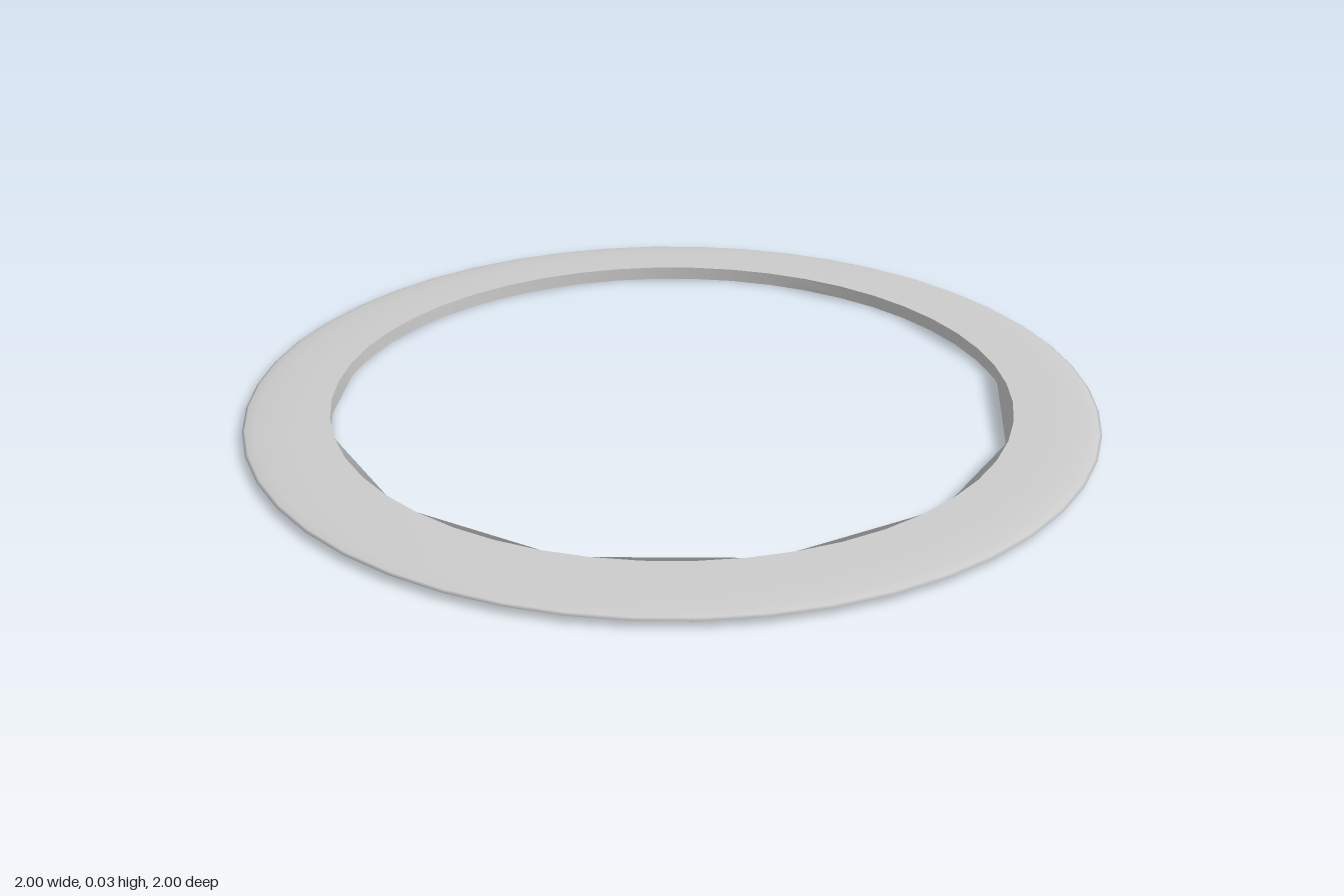
import * as THREE from 'three';

const SIDES = 48, INNER = 0.8, OUTER = 1, HALF = 0.0165;

// Rim: half-elliptical section, tapering to a thin outer edge
function rimGeometry() {
  const profile = [];
  const steps = 12;
  for (let i = 0; i <= steps; i++) {
    const a = -Math.PI / 2 + (Math.PI * i) / steps;
    profile.push(new THREE.Vector2(INNER + (OUTER - INNER) * Math.cos(a), HALF + HALF * Math.sin(a)));
  }
  return new THREE.LatheGeometry(profile, SIDES);
}

// Inner wall: round at the bottom, its top edge cut into chords with small flat ledges
function wallGeometry() {
  const position = [], normal = [], index = [];
  for (const y of [0, 2 * HALF]) {
    for (let i = 0; i < SIDES; i++) {
      const a = (i / SIDES) * Math.PI * 2;
      position.push(INNER * Math.sin(a), y, -INNER * Math.cos(a));
      normal.push(-Math.sin(a), 0, Math.cos(a));
    }
  }
  const bottom = (i) => i % SIDES;
  const top = (i) => SIDES + (i % SIDES);
  const panel = (start, span) => {
    const end = start + span;
    for (let i = start; i < end; i++) {
      index.push(bottom(i), bottom(i + 1), top(start));
      if (i > start) index.push(top(start), top(i + 1), top(i));
    }
    index.push(bottom(end), top(end), top(start));
  };
  for (let sector = 0; sector < 12; sector++) {
    const start = sector * 4;
    if (sector === 3) panel(start, 4);
    else {
      panel(start, 3);
      panel(start + 3, 1);
    }
  }
  const geometry = new THREE.BufferGeometry();
  geometry.setAttribute('position', new THREE.Float32BufferAttribute(position, 3));
  geometry.setAttribute('normal', new THREE.Float32BufferAttribute(normal, 3));
  geometry.setIndex(index);
  return geometry;
}

export function createModel() {
  const group = new THREE.Group();
  group.name = 'flatRing';
  const material = new THREE.MeshStandardMaterial({ color: 0xcccccc, side: THREE.DoubleSide });
  const add = (name, geometry) => {
    const mesh = new THREE.Mesh(geometry, material);
    mesh.name = name;
    group.add(mesh);
  };
  add('rim', rimGeometry());
  add('innerWall', wallGeometry());
  return group;
}
